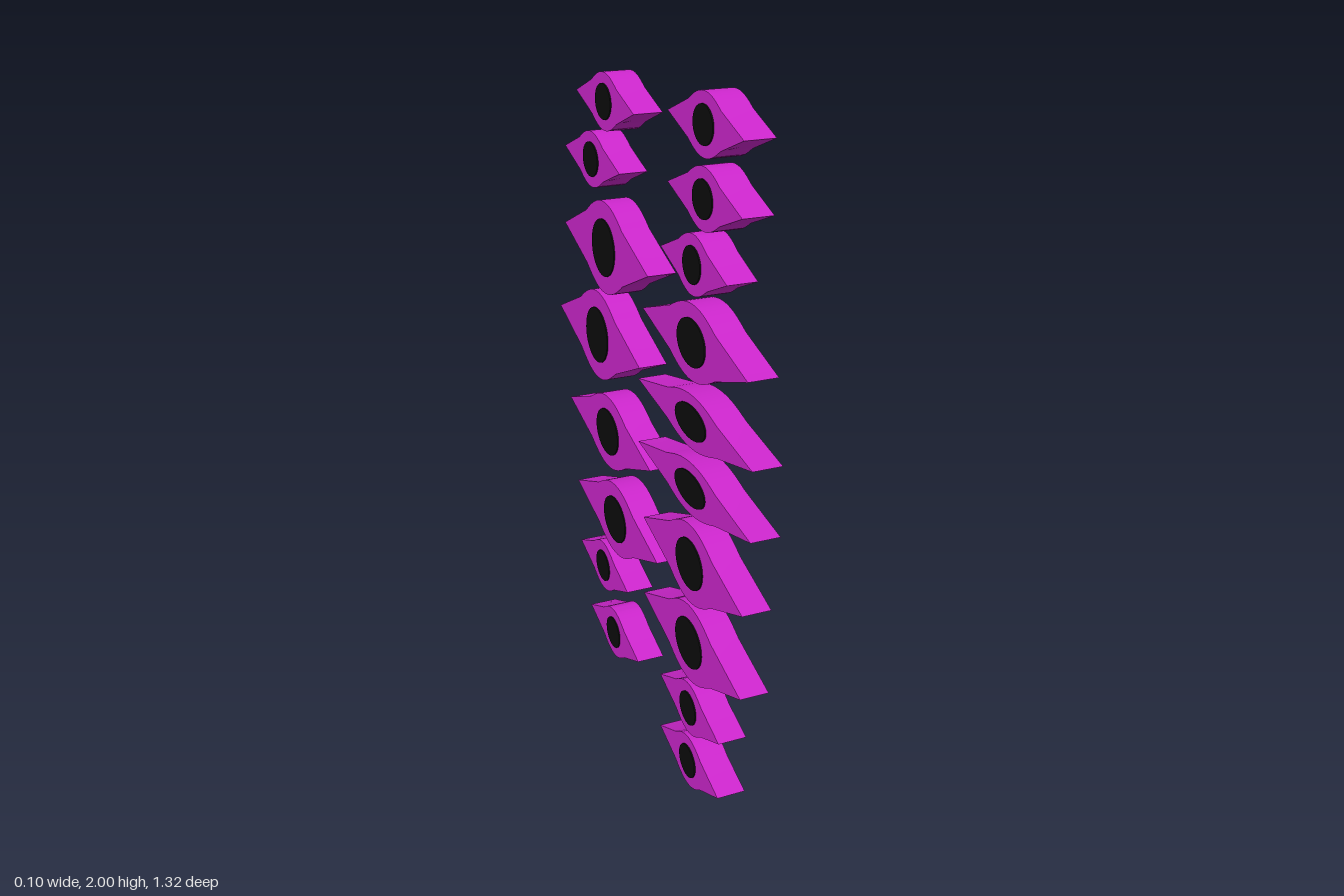
import * as THREE from 'three';
import { toCreasedNormals } from 'three/addons/utils/BufferGeometryUtils.js';

const BACK = -0.049, FRONT = 0.035; // body faces along x

// [z, y, half width, half height, outer x of pupil]
const EYES = [
  // front column, top to bottom
  [0.368, 1.92, 0.21, 0.08, 0.04],
  [0.368, 1.74, 0.21, 0.08, 0.04],
  [0.31, 1.56, 0.195, 0.08, 0.04],
  [0.31, 1.355, 0.315, 0.103, 0.04],
  [0.31, 1.137, 0.35, 0.075, 0.04],
  [0.31, 0.945, 0.35, 0.075, 0.04],
  [0.31, 0.72, 0.315, 0.117, 0.05],
  [0.31, 0.473, 0.315, 0.117, 0.04],
  [0.31, 0.26, 0.195, 0.08, 0.04],
  [0.31, 0.082, 0.195, 0.08, 0.04],
  // rear column, top to bottom
  [-0.27, 1.87, 0.21, 0.08, 0.04],
  [-0.373, 1.69, 0.21, 0.08, 0.04],
  [-0.285, 1.452, 0.315, 0.135, 0.043],
  [-0.345, 1.17, 0.315, 0.135, 0.045],
  [-0.273, 0.885, 0.315, 0.113, 0.043],
  [-0.223, 0.615, 0.315, 0.115, 0.043],
  [-0.327, 0.407, 0.195, 0.08, 0.04],
  [-0.247, 0.207, 0.195, 0.08, 0.04],
];

// Almond outline: straight flanks running into a rounded crown
function almond(w, h) {
  const s = new THREE.Shape();
  s.moveTo(w, 0);
  for (const k of [1, -1]) {
    const a = w * k, b = h * k;
    s.lineTo(a * 0.43, b * 0.59);
    s.bezierCurveTo(a * 0.27, b * 0.86, a * 0.15, b, 0, b);
    s.bezierCurveTo(-a * 0.15, b, -a * 0.27, b * 0.86, -a * 0.43, b * 0.59);
    s.lineTo(-a, 0);
  }
  return s;
}

export function createModel() {
  const group = new THREE.Group();
  const bodyMat = new THREE.MeshStandardMaterial({ color: 0xcc26cc });
  const pupilMat = new THREE.MeshStandardMaterial({ color: 0x0c0c0c });

  EYES.forEach(([z, y, w, h, outer], i) => {
    const eye = new THREE.Group();
    eye.name = `eye${i + 1}`;
    eye.position.set(0, y, z);

    // Almond slab, extruded along x
    const slab = new THREE.ExtrudeGeometry(almond(w, h), {
      depth: FRONT - BACK, bevelEnabled: false, curveSegments: 10,
    }).rotateY(Math.PI / 2).translate(BACK, 0, 0);
    const body = new THREE.Mesh(toCreasedNormals(slab, 0.4), bodyMat);
    body.name = 'eyeBody';

    // Oval pupil passing through, standing slightly proud on both sides
    const inner = -0.053;
    const disc = new THREE.CylinderGeometry(1, 1, outer - inner, 40)
      .rotateZ(Math.PI / 2)
      .scale(1, h * 0.62, w * 0.265)
      .translate((outer + inner) / 2, 0, 0);
    const pupil = new THREE.Mesh(disc, pupilMat);
    pupil.name = 'pupil';

    eye.add(body, pupil);
    group.add(eye);
  });
  return group;
}
